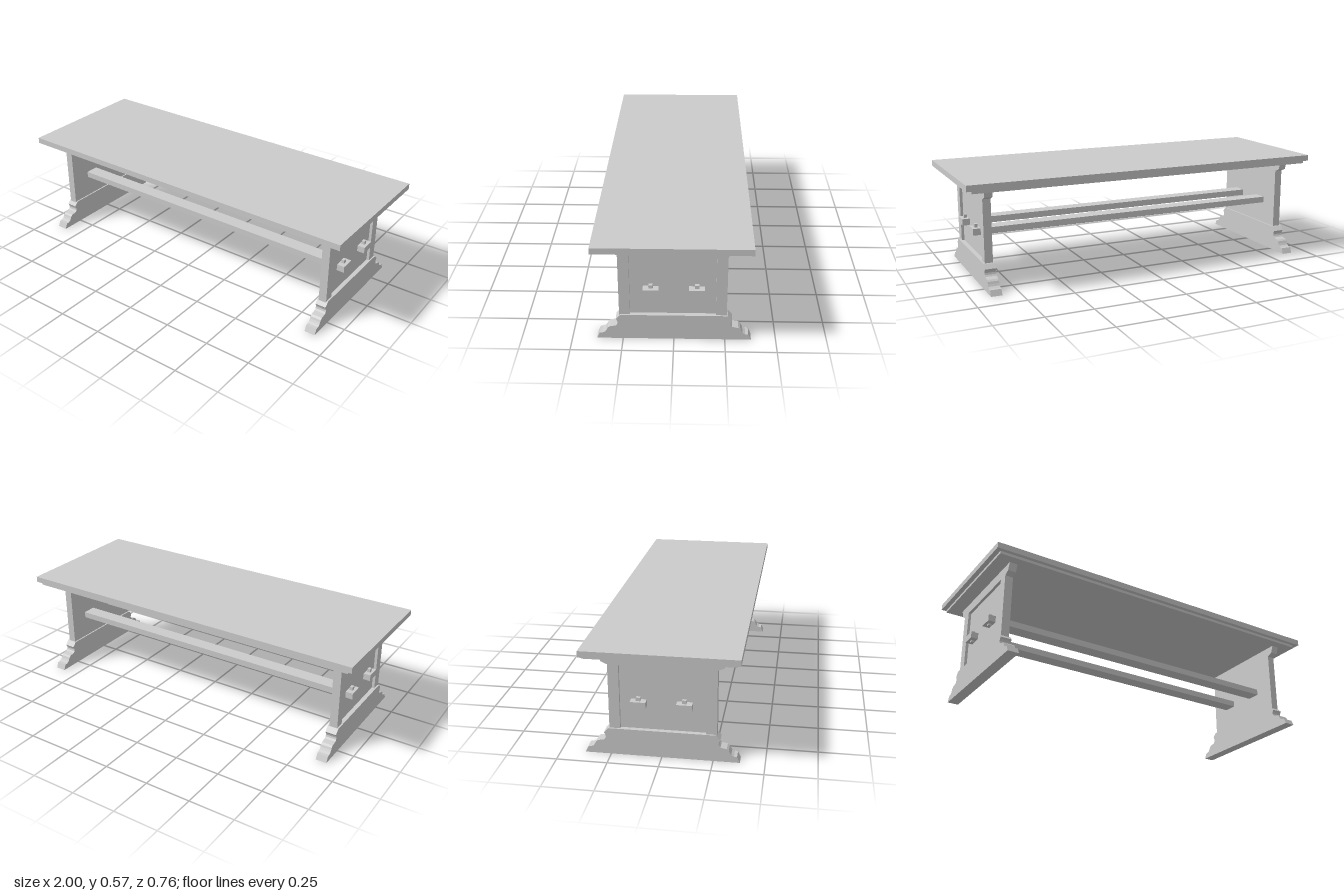
import * as THREE from 'three';

const material = new THREE.MeshStandardMaterial({ color: 0xcccccc, flatShading: true });
const MID_X = -0.004; // middle of the base
const MID_Z = 0.005; // middle of the end boards

function add(parent, name, geometry) {
  const mesh = new THREE.Mesh(geometry, material);
  mesh.name = name;
  parent.add(mesh);
  return mesh;
}

// Box given by its limits on each axis
function box(parent, name, [x0, x1], [y0, y1], [z0, z1]) {
  add(parent, name, new THREE.BoxGeometry(x1 - x0, y1 - y0, z1 - z0))
    .position.set((x0 + x1) / 2, (y0 + y1) / 2, (z0 + z1) / 2);
}

// Closed outline in (z, y), mirrored from its front half
function mirrored(half) {
  const back = half.map(([z, y]) => [-z, y]).reverse();
  return new THREE.Shape([...half, ...back].map(([z, y]) => new THREE.Vector2(z, y)));
}

// Extrude an outline in (z, y) along x, centred on x
function slab(parent, name, shape, x, z, thickness) {
  const geometry = new THREE.ExtrudeGeometry(shape, { depth: thickness, bevelEnabled: false });
  geometry.translate(0, 0, -thickness / 2).rotateY(-Math.PI / 2);
  add(parent, name, geometry).position.set(x, 0, z);
}

const BOARD = [[0.262, 0.1], [0.262, 0.471], [0.294, 0.485], [0.308, 0.527]];
const FOOT = [
  [0.379, 0], [0.365, 0.03], [0.35, 0.032], [0.337, 0.039], [0.33, 0.05], [0.325, 0.061],
  [0.315, 0.069], [0.285, 0.075], [0.278, 0.083], [0.275, 0.093], [0.278, 0.104],
  [0.284, 0.114], [0.264, 0.135], [0.26, 0.138],
];

export function createModel() {
  const table = new THREE.Group();
  table.name = 'trestleTable';

  // Top and the thinner board beneath it
  box(table, 'tableTop', [-1, 1], [0.54, 0.572], [-0.371, 0.382]);
  box(table, 'underTop', [-0.975, 0.97], [0.525, 0.54], [-0.359, 0.361]);

  // Trestle ends: plain inside, framed recessed panel outside
  for (const side of [-1, 1]) {
    const end = new THREE.Group();
    end.name = side < 0 ? 'rightEnd' : 'leftEnd';
    table.add(end);
    const x = MID_X + side * 0.8755;

    const frame = mirrored(BOARD);
    frame.holes.push(new THREE.Path([
      [-0.209, 0.125], [0.209, 0.125], [0.209, 0.471], [-0.209, 0.471],
    ].map(([z, y]) => new THREE.Vector2(z, y))));
    slab(end, 'panelFrame', frame, x + side * 0.014, MID_Z, 0.015);
    slab(end, 'endBoard', mirrored(BOARD), x - side * 0.0075, MID_Z, 0.028);
    slab(end, 'foot', mirrored(FOOT), x, 0, 0.059);

    // Pegs holding the rail tenons
    for (const z of [-0.111, 0.111]) {
      add(end, 'peg', new THREE.BoxGeometry(0.016, 0.062, 0.021))
        .position.set(x + side * 0.023, 0.281, z);
    }
  }

  // Two long rails passing through both ends
  for (const z of [-0.111, 0.111]) {
    box(table, 'rail', [-0.925, 0.919], [0.26, 0.294], [z - 0.038, z + 0.038]);
  }
  return table;
}
